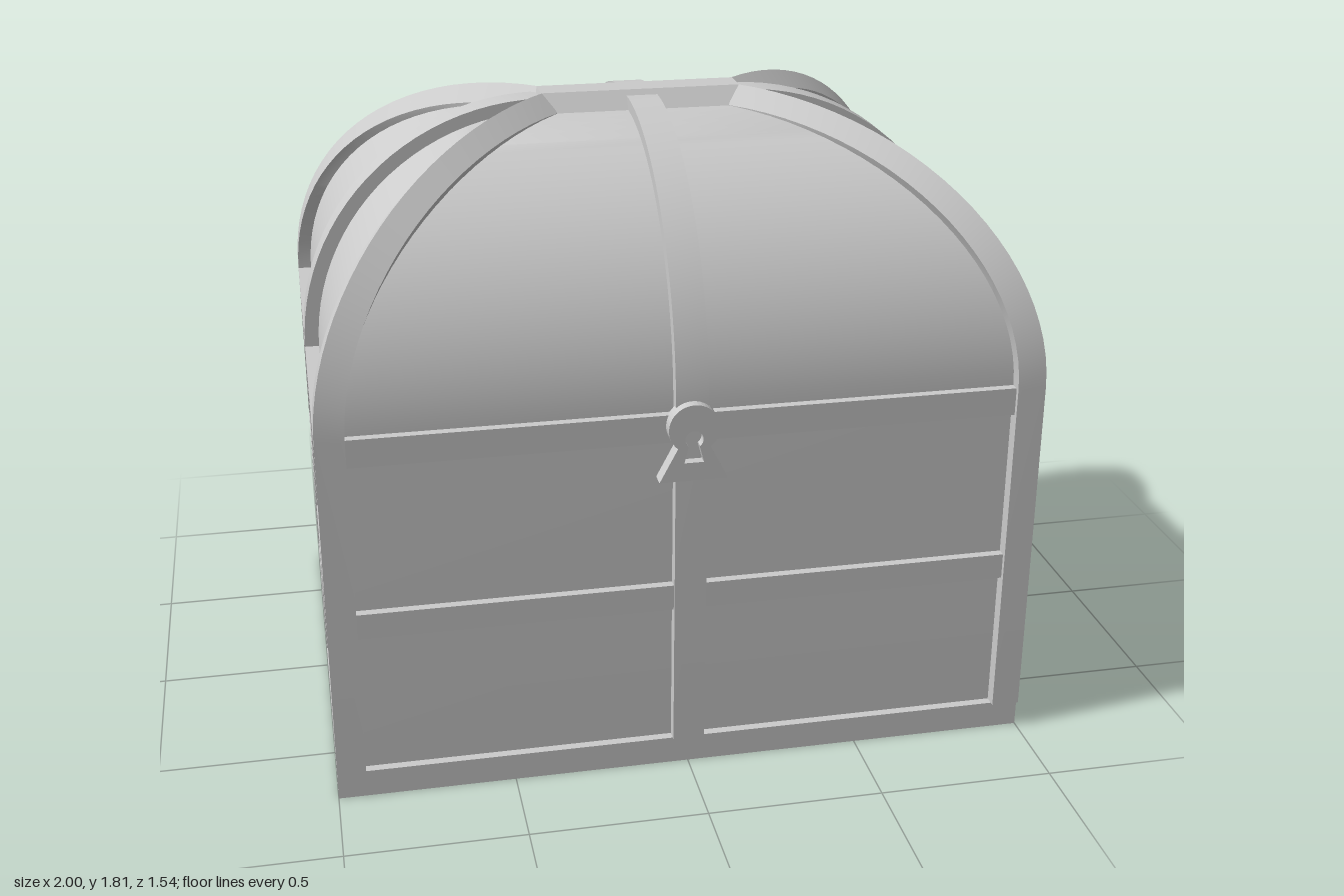
import * as THREE from 'three';
import { toCreasedNormals } from 'three/addons/utils/BufferGeometryUtils.js';

const SPRING = 1.09; // height where the domed lid begins
const STEPS = 24;
const material = new THREE.MeshStandardMaterial({ color: 0xcccccc });

// Skin a stack of closed rings (counter-clockwise seen from above), with end caps
function loft(rings, flip = false) {
  const n = rings[0].length;
  const index = [];
  const tri = (a, b, c) => (flip ? index.push(a, c, b) : index.push(a, b, c));
  for (let i = 0; i < rings.length - 1; i++) {
    for (let j = 0; j < n; j++) {
      const a = i * n + j, b = i * n + (j + 1) % n;
      tri(a, b, b + n);
      tri(a, b + n, a + n);
    }
  }
  const top = (rings.length - 1) * n;
  for (let j = 1; j < n - 1; j++) {
    tri(0, j + 1, j);
    tri(top, top + j, top + j + 1);
  }
  const g = new THREE.BufferGeometry();
  g.setAttribute('position', new THREE.Float32BufferAttribute(rings.flat(2), 3));
  g.setIndex(index);
  return toCreasedNormals(g, 0.5);
}

// A straight lower ring at height y0, then a quarter-circle sweep to the crown
function sweep(section, y0) {
  const rings = [section(1, 0).map(([x, y, z]) => [x, y0, z])];
  for (let i = 0; i <= STEPS; i++) {
    const t = (i / STEPS) * Math.PI / 2;
    rings.push(section(Math.cos(t), Math.sin(t)));
  }
  return rings;
}

const rectangle = (x, y, z) => [[-x, y, z], [x, y, z], [x, y, -z], [-x, y, -z]];

export function createModel() {
  const chest = new THREE.Group();
  chest.name = 'chest';
  const body = new THREE.Group();
  body.name = 'chestBody';
  body.position.z = -0.0125;
  chest.add(body);

  const add = (name, geometry, x = 0, y = 0, z = 0) => {
    const mesh = new THREE.Mesh(geometry, material);
    mesh.name = name;
    mesh.position.set(x, y, z);
    body.add(mesh);
    return mesh;
  };

  // Inner walls running up into the four-sided dome
  add('wallsAndDome', loft(sweep(
    (c, s) => rectangle(0.29 + 0.67 * c, SPRING + 0.67 * s, 0.05 + 0.67 * c), 0.05)));

  // Base rim, hollow below the floor
  const rim = new THREE.Shape(rectangle(1, 0, 0.745).map(([x, , z]) => new THREE.Vector2(x, -z)));
  rim.holes.push(new THREE.Path(rectangle(0.92, 0, 0.665).map(([x, , z]) => new THREE.Vector2(x, -z))));
  const rimGeometry = new THREE.ExtrudeGeometry(rim, { depth: 0.08, bevelEnabled: false });
  add('baseRim', rimGeometry.rotateX(-Math.PI / 2));

  // Corner posts that bend into the hips of the dome
  for (const sx of [1, -1]) {
    for (const sz of [1, -1]) {
      const section = (c, s) => {
        const a = [0.25 + 0.67 * c, SPRING + 0.67 * s, 0.085 + 0.673 * c];
        const b = [0.327 + 0.673 * c, SPRING + 0.67 * s, 0.01 + 0.67 * c];
        return [
          [0.28 + 0.72 * c, SPRING + 0.72 * s, 0.038 + 0.72 * c],
          b,
          [b[0] - 0.06 * c, b[1] - 0.06 * s, b[2]],
          [0.28 + 0.57 * c, SPRING + 0.57 * s, 0.038 + 0.57 * c],
          [a[0], a[1] - 0.06 * s, a[2] - 0.06 * c],
          a,
        ].map(([x, y, z]) => [x * sx, y, z * sz]);
      };
      add('cornerPostAndHip', loft(sweep(section, 0.08), sx * sz < 0));
    }
  }

  // Centre straps on all four sides
  for (let k = 0; k < 4; k++) {
    const centre = k % 2 ? 0.295 : 0.05;
    const section = (c, s) => [[-1, 0.705], [1, 0.705], [1, 0.65], [-1, 0.65]]
      .map(([u, r]) => [u * 0.045, SPRING + r * s, centre + r * c]);
    add('centreStrap', loft(sweep(section, 0.08))).rotation.y = k * Math.PI / 2;
  }

  // Horizontal rails
  for (const [y, h] of [[1.05, 0.08], [0.537, 0.075]]) {
    for (const side of [1, -1]) {
      add('longRail', new THREE.BoxGeometry(1.86, h, 0.05), 0, y, side * 0.72);
      add('sideRail', new THREE.BoxGeometry(0.06, h, 1.4), side * 0.97, y, 0);
    }
  }

  // Bevelled ridge on the crown
  add('ridge', loft([rectangle(0.305, 1.755, 0.087), rectangle(0.29, 1.81, 0.046)]));

  // Lock plate with a keyhole
  const plate = new THREE.Shape();
  plate.moveTo(-0.095, -0.15);
  plate.lineTo(0.095, -0.15);
  plate.lineTo(0.045, -0.054);
  plate.absarc(0, 0, 0.07, -0.88, Math.PI + 0.88, false);
  plate.closePath();
  const keyhole = new THREE.Path();
  keyhole.moveTo(-0.027, -0.097);
  keyhole.lineTo(0.027, -0.097);
  keyhole.lineTo(0.014, -0.048);
  keyhole.absarc(0, -0.03, 0.025, -0.9, Math.PI + 0.9, false);
  keyhole.closePath();
  plate.holes.push(keyhole);
  add('lockPlate', new THREE.ExtrudeGeometry(plate, {
    depth: 0.045, bevelEnabled: false, curveSegments: 16,
  }), 0, 1.06, 0.7375);

  return chest;
}
